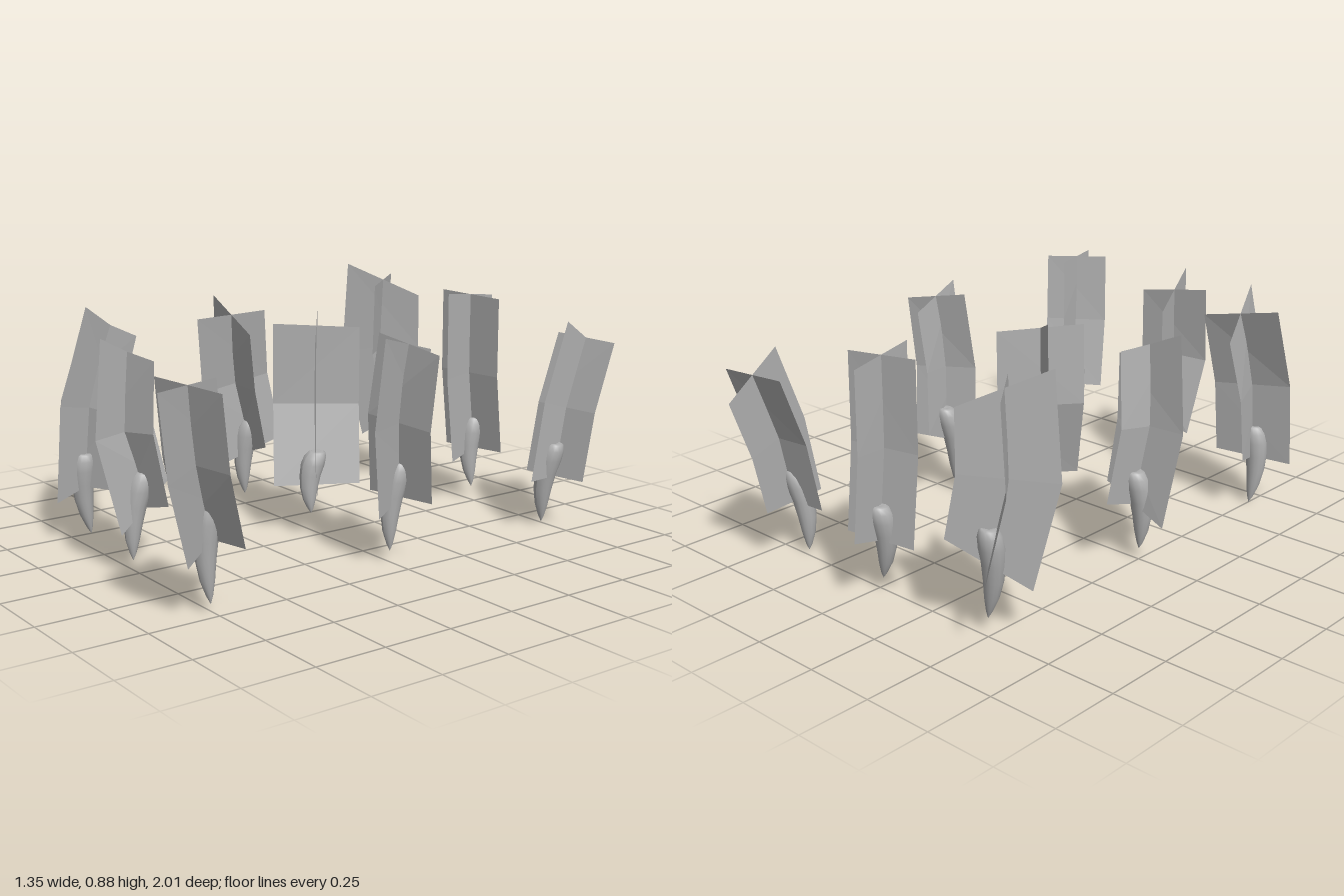
import * as THREE from 'three';

const grey = new THREE.MeshStandardMaterial({ color: 0xb0b0b0 });
grey.name = 'plain grey';
grey.side = THREE.DoubleSide;

const V = (a) => new THREE.Vector3(...a);

// base and top: ends of the leaf spine; bend: x,z of its middle;
// yaw: heading of the first leaf in degrees; half: half the leaf width; tip: point of the root
const plants = [
  { base: [-0.51, 0.25, -0.755], bend: [-0.558, -0.715], top: [-0.545, 0.82, -0.718], yaw: 49.5, half: 0.16, tip: [-0.48, 0.05, -0.73] },
  { base: [-0.05, 0.2, -0.785], bend: [-0.04, -0.745], top: [-0.03, 0.815, -0.735], yaw: -10, half: 0.135, tip: [-0.03, 0.05, -0.76] },
  { base: [0.425, 0.19, -0.755], bend: [0.42, -0.81], top: [0.415, 0.69, -0.905], yaw: -6, half: 0.13, tip: [0.385, 0.01, -0.735] },
  { base: [-0.49, 0.21, -0.02], bend: [-0.505, 0.035], top: [-0.465, 0.755, 0.075], yaw: 3, half: 0.145, tip: [-0.5, 0.04, 0] },
  { base: [-0.01, 0.185, 0.01], bend: [-0.07, -0.03], top: [-0.067, 0.755, -0.03], yaw: -52, half: 0.155, tip: [0.01, 0.09, 0.05] },
  { base: [0.405, 0.225, -0.04], bend: [0.44, 0], top: [0.475, 0.765, -0.01], yaw: -14, half: 0.13, tip: [0.4, 0.04, 0] },
  { base: [-0.495, 0.18, 0.69], bend: [-0.492, 0.665], top: [-0.487, 0.76, 0.573], yaw: -18, half: 0.143, tip: [-0.5, 0, 0.67] },
  { base: [-0.04, 0.21, 0.7], bend: [-0.06, 0.758], top: [-0.07, 0.74, 0.735], yaw: -16, half: 0.132, tip: [-0.04, 0.035, 0.75] },
  { base: [0.46, 0.235, 0.75], bend: [0.508, 0.83], top: [0.545, 0.745, 0.875], yaw: -18, half: 0.13, tip: [0.465, 0.03, 0.76] },
];

// Flat-shaded strip of two quads joining three cross lines
function leafStrip(points, sides, half) {
  const pos = [];
  const edge = (i, s) => points[i].clone().addScaledVector(sides[i], s * half);
  for (let i = 0; i < 2; i++) {
    const a = edge(i, -1), b = edge(i, 1), c = edge(i + 1, 1), d = edge(i + 1, -1);
    for (const p of [a, b, c, a, c, d]) pos.push(p.x, p.y, p.z);
  }
  const g = new THREE.BufferGeometry();
  g.setAttribute('position', new THREE.Float32BufferAttribute(pos, 3));
  g.computeVertexNormals();
  return g;
}

// Two bent leaves crossing along one curved spine
function makeLeaves({ base, bend, top, yaw, half }) {
  const p = [V(base), V([bend[0], (base[1] + top[1]) / 2, bend[1]]), V(top)];
  const s1 = p[1].clone().sub(p[0]).normalize();
  const s2 = p[2].clone().sub(p[1]).normalize();
  const turn = s2.clone().sub(s1).multiplyScalar(1.5);
  const tangents = [s1.clone().sub(turn), s1.clone().add(s2), s2.clone().add(turn)];
  const angle = THREE.MathUtils.degToRad(yaw);
  const wide = [], deep = [];
  for (const t of tangents) {
    t.normalize();
    const w = V([Math.cos(angle), 0, Math.sin(angle)]);
    w.addScaledVector(t, -w.dot(t)).normalize();
    wide.push(w);
    deep.push(w.clone().cross(t).normalize());
  }
  return [leafStrip(p, wide, half), leafStrip(p, deep, half)];
}

// Tapered root: a turned profile leaned from tip to crown with a slight bow
const profile = [[0, 0], [0.011, 0.08], [0.024, 0.23], [0.033, 0.42], [0.039, 0.62], [0.044, 0.79],
  [0.041, 0.91], [0.031, 0.985], [0.022, 1], [0, 0.985]].map(([r, h]) => new THREE.Vector2(r, h));

function makeRoot({ base, tip }) {
  const g = new THREE.LatheGeometry(profile, 14);
  const pos = g.attributes.position;
  const low = V(tip), high = V(base);
  high.y += 0.125;
  for (let i = 0; i < pos.count; i++) {
    const h = pos.getY(i);
    const c = low.clone().lerp(high, h);
    const bow = 0.012 * Math.sin(Math.PI * h);
    pos.setXYZ(i, pos.getX(i) + c.x - bow, c.y, pos.getZ(i) + c.z + bow);
  }
  g.computeVertexNormals();
  return g;
}

export function createModel() {
  const model = new THREE.Group();
  model.name = 'rootVegetablePatch';
  plants.forEach((plant, i) => {
    const group = new THREE.Group();
    group.name = `plant${i + 1}`;
    const [firstLeaf, crossLeaf] = makeLeaves(plant);
    const parts = { root: makeRoot(plant), firstLeaf, crossLeaf };
    for (const [name, geometry] of Object.entries(parts)) {
      const mesh = new THREE.Mesh(geometry, grey);
      mesh.name = name;
      group.add(mesh);
    }
    model.add(group);
  });
  return model;
}
